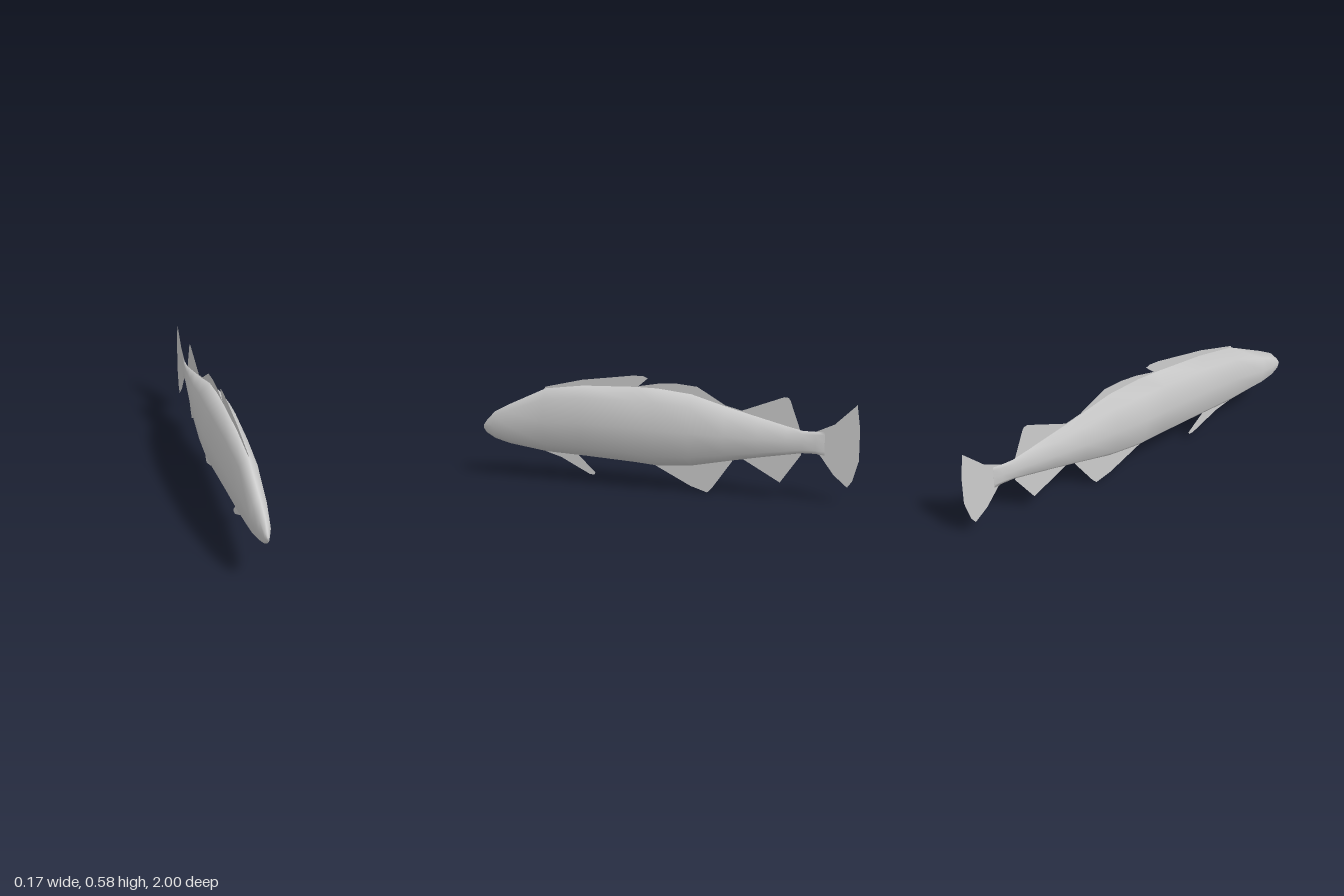
import * as THREE from 'three';

const skin = new THREE.MeshStandardMaterial({ color: 0xcccccc, side: THREE.DoubleSide });
skin.name = 'grey skin';

// Body stations from snout to tail: z, belly y, back y, half width
const stations = [
  [1.0, 0.25, 0.27, 0.004],
  [0.985, 0.228, 0.292, 0.013],
  [0.935, 0.2, 0.345, 0.031],
  [0.85, 0.178, 0.39, 0.045],
  [0.64, 0.15, 0.488, 0.06],
  [0.43, 0.143, 0.515, 0.07],
  [0.15, 0.13, 0.525, 0.082],
  [0.03, 0.121, 0.524, 0.083],
  [-0.15, 0.135, 0.505, 0.077],
  [-0.33, 0.172, 0.453, 0.064],
  [-0.5, 0.205, 0.41, 0.044],
  [-0.64, 0.23, 0.375, 0.025],
  [-0.72, 0.244, 0.357, 0.014],
  [-0.785, 0.245, 0.357, 0.008],
  [-0.83, 0.24, 0.36, 0.001],
];

// Eight-sided section: share of half width, share of height
const section = [
  [1, 0.5], [0.75, 0.85], [0, 1], [-0.75, 0.85],
  [-1, 0.5], [-0.75, 0.15], [0, 0], [0.75, 0.15],
];

function bodyGeometry() {
  const positions = [], index = [], n = section.length;
  for (const [z, low, high, w] of stations) {
    for (const [sx, sy] of section) positions.push(sx * w, low + sy * (high - low), z);
  }
  for (let i = 0; i < stations.length - 1; i++) {
    for (let j = 0; j < n; j++) {
      const k = (j + 1) % n;
      const a = i * n + j, a2 = i * n + k, b = a + n, b2 = a2 + n;
      index.push(a, b, a2, a2, b, b2);
    }
  }
  // Close the snout and the tail end
  const last = (stations.length - 1) * n;
  for (let j = 1; j < n - 1; j++) {
    index.push(0, j, j + 1, last, last + j + 1, last + j);
  }
  const g = new THREE.BufferGeometry();
  g.setAttribute('position', new THREE.Float32BufferAttribute(positions, 3));
  g.setIndex(index);
  g.computeVertexNormals();
  return g;
}

// Flat fins on the middle plane, outlined as [z, y]
const fins = {
  frontDorsalFin: [[0.66, 0.47], [0.64, 0.497], [0.437, 0.545], [0.158, 0.583], [0.105, 0.583],
    [0.08, 0.573], [0.13, 0.53], [0.15, 0.5]],
  middleDorsalFin: [[0.13, 0.5], [0.13, 0.53], [0.02, 0.55], [-0.07, 0.555], [-0.18, 0.545],
    [-0.325, 0.46], [-0.41, 0.438], [-0.41, 0.4]],
  rearDorsalFin: [[-0.38, 0.4], [-0.41, 0.438], [-0.625, 0.52], [-0.645, 0.518], [-0.655, 0.505],
    [-0.705, 0.364], [-0.72, 0.33]],
  tailFin: [[-0.76, 0.34], [-0.785, 0.357], [-0.877, 0.4], [-0.984, 0.503], [-1, 0.385],
    [-1, 0.225], [-0.97, 0.12], [-0.946, 0.086], [-0.877, 0.145], [-0.807, 0.24], [-0.76, 0.26]],
  rearAnalFin: [[-0.36, 0.23], [-0.405, 0.198], [-0.61, 0.084], [-0.715, 0.235], [-0.7, 0.27]],
  frontAnalFin: [[0.06, 0.16], [0.045, 0.123], [-0.147, 0.027], [-0.235, 0.0], [-0.26, 0.025],
    [-0.365, 0.175], [-0.36, 0.22]],
  pelvicFin: [[0.66, 0.17], [0.65, 0.151], [0.56, 0.125], [0.4, 0.045], [0.375, 0.044],
    [0.37, 0.056], [0.46, 0.142], [0.46, 0.17]],
};

function finGeometry(outline) {
  const shape = new THREE.Shape(outline.map(([z, y]) => new THREE.Vector2(z, y)));
  return new THREE.ShapeGeometry(shape).rotateY(-Math.PI / 2);
}

export function createModel() {
  const fish = new THREE.Group();
  fish.name = 'fish';
  const add = (name, geometry) => {
    const mesh = new THREE.Mesh(geometry, skin);
    mesh.name = name;
    fish.add(mesh);
  };
  add('body', bodyGeometry());
  for (const [name, outline] of Object.entries(fins)) add(name, finGeometry(outline));
  return fish;
}
